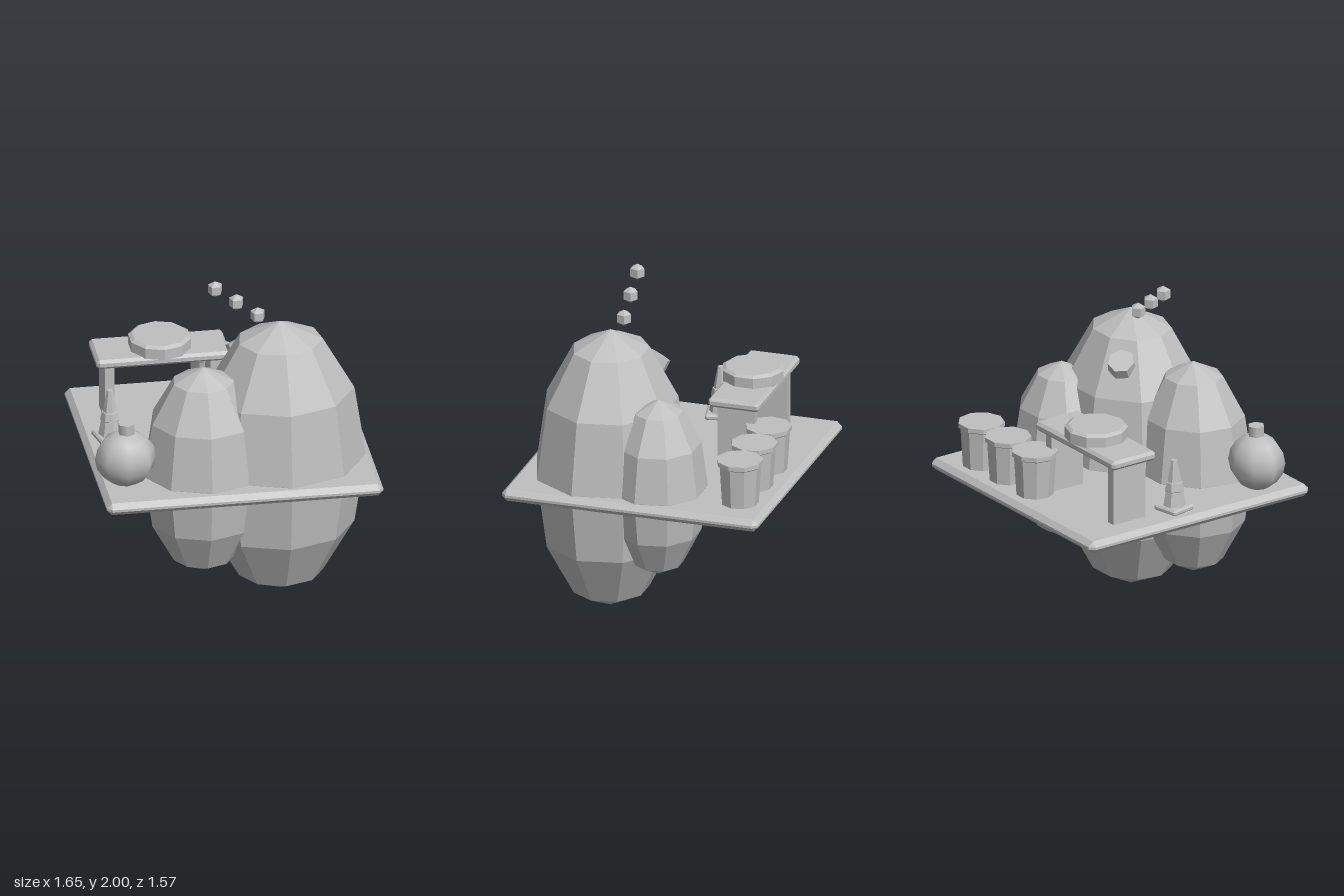
import * as THREE from 'three';
import { ConvexGeometry } from 'three/addons/geometries/ConvexGeometry.js';

export function createModel() {
  const model = new THREE.Group();
  const stone = new THREE.MeshStandardMaterial({ color: 0xbfbfbf });
  stone.name = 'pale grey';

  // Gives every face its own normal
  const flat = (geometry) => {
    const g = geometry.index ? geometry.toNonIndexed() : geometry;
    g.computeVertexNormals();
    return g;
  };

  const add = (name, geometry, x, y, z, parent = model) => {
    const mesh = new THREE.Mesh(geometry, stone);
    mesh.name = name;
    mesh.position.set(x, y, z);
    parent.add(mesh);
    return mesh;
  };

  // Box with every edge chamfered by b
  const chamferBox = (w, h, d, b) => {
    const points = [];
    for (const sx of [-1, 1]) for (const sy of [-1, 1]) for (const sz of [-1, 1])
      for (let axis = 0; axis < 3; axis++) {
        const inset = [b, b, b];
        inset[axis] = 0;
        points.push(new THREE.Vector3(
          sx * (w / 2 - inset[0]), sy * (h / 2 - inset[1]), sz * (d / 2 - inset[2])));
      }
    return new ConvexGeometry(points);
  };

  const turned = (profile, sides) => flat(new THREE.LatheGeometry(
    profile.map(([r, y]) => new THREE.Vector2(r, y)), sides));

  // Platform
  add('platform', chamferBox(1.625, 0.075, 1.565, 0.03), 0.012, 0.828, -0.002);

  // Tall faceted boulders passing through the platform
  const boulders = [
    ['largeBoulder', 0.295, 0.28, 0.5, 0.865, 0.45],
    ['mediumBoulder', -0.175, 0.388, 0.36, 0.657, 0.338],
    ['smallBoulder', 0.49, -0.077, 0.305, 0.547, 0.285],
  ];
  for (const [name, x, z, rx, ry, rz] of boulders) {
    const g = new THREE.SphereGeometry(1, 9, 6, Math.PI / 2);
    g.scale(rx, ry, rz);
    add(name, flat(g), x, 0.867, z);
  }

  // Flat knob set into the large boulder
  const knob = add('boulderKnob', flat(new THREE.CylinderGeometry(0.08, 0.085, 0.07, 7)),
    0.095, 1.49, 0.07);
  knob.quaternion.setFromUnitVectors(
    new THREE.Vector3(0, 1, 0), new THREE.Vector3(-0.38, 0.82, -0.42).normalize());

  // Rising line of floating beads
  for (let i = 0; i < 3; i++) {
    add('floatingBead', flat(new THREE.SphereGeometry(0.05, 5, 3, -Math.PI / 2)),
      -0.08 + 0.125 * i, 1.95 - 0.095 * i, 0.24);
  }

  // Table with two panel legs and a round tray
  const table = new THREE.Group();
  table.name = 'table';
  table.position.set(-0.302, 0, -0.4);
  model.add(table);
  add('tableTop', chamferBox(0.785, 0.057, 0.312, 0.017), 0, 1.256, 0, table);
  for (const side of [-1, 1]) {
    add('tableLeg', new THREE.BoxGeometry(0.055, 0.37, 0.225), side * 0.31, 1.045, 0, table);
  }
  add('roundTray', turned(
    [[0, 1.28], [0.185, 1.28], [0.185, 1.345], [0.163, 1.36], [0, 1.36]], 10), 0, 0, 0.005, table);

  // Row of tubs with rims
  const tub = turned(
    [[0, 0.86], [0.11, 0.86], [0.125, 1.1], [0.137, 1.108], [0.137, 1.135], [0, 1.135]], 9);
  for (const x of [0.03, 0.297, 0.564]) add('tub', tub, x, 0, -0.597);

  // Cone on a turned square foot
  const cone = new THREE.Group();
  cone.name = 'cone';
  cone.position.set(-0.645, 0, -0.085);
  cone.rotation.y = 0.2;
  model.add(cone);
  add('coneFoot', chamferBox(0.17, 0.035, 0.17, 0.01), 0, 0.88, 0, cone);
  add('coneBody', turned([[0.07, 0.89], [0.018, 1.175], [0, 1.175]], 7), 0, 0, 0, cone);
  add('coneBand', turned([[0.052, 0.985], [0.058, 0.99], [0.049, 1.04], [0.04, 1.043]], 7),
    0, 0, 0, cone);

  // Smooth round flask with a short stopper
  const body = new THREE.SphereGeometry(1, 8, 8);
  body.scale(0.18, 0.17, 0.16);
  add('flaskBody', body, -0.65, 1.03, 0.5);
  add('flaskStopper', new THREE.CylinderGeometry(0.05, 0.05, 0.07, 6), -0.645, 1.218, 0.5);

  return model;
}
